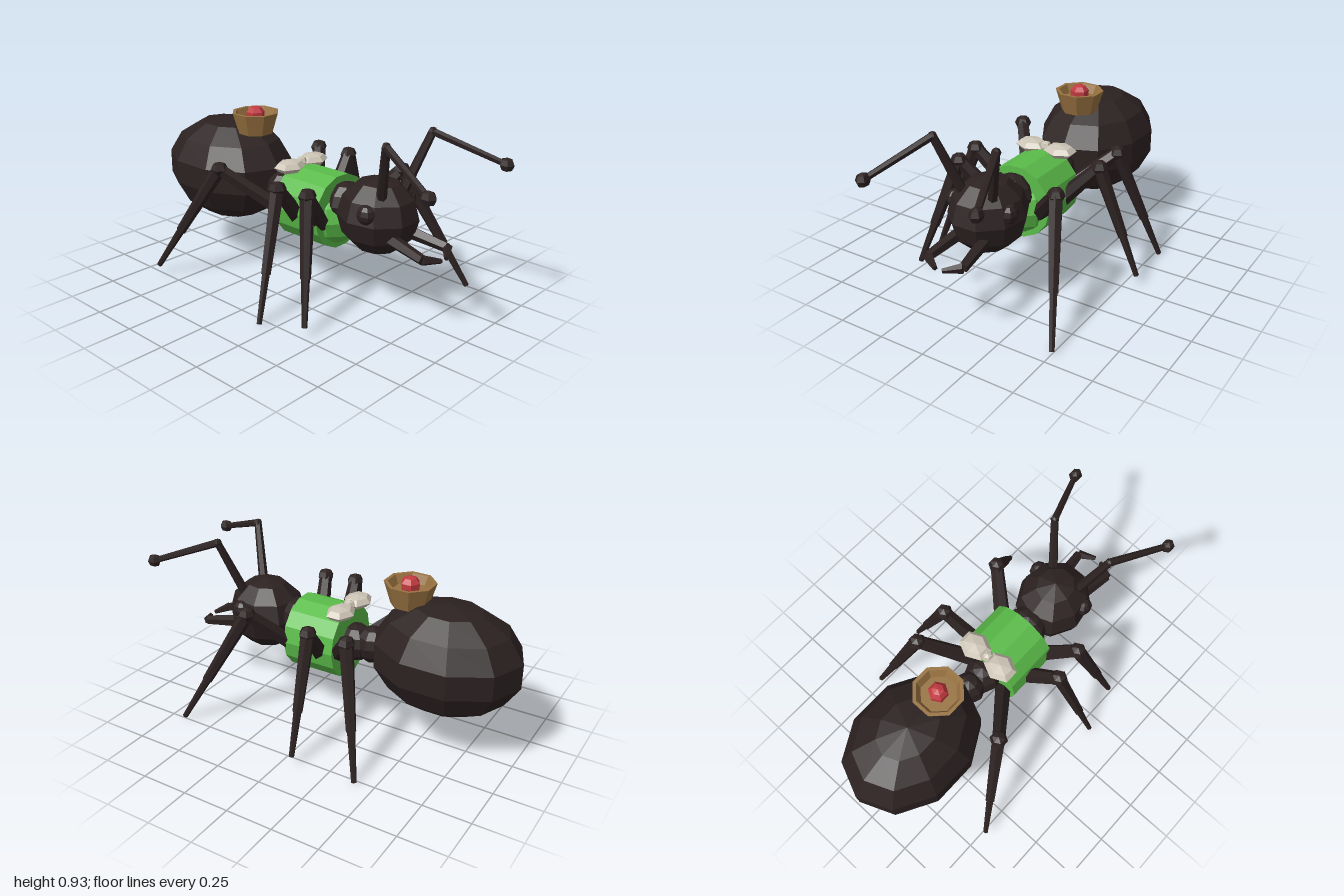
import * as THREE from 'three';

const flat = (name, color, side = THREE.FrontSide) => {
  const m = new THREE.MeshStandardMaterial({ color, flatShading: true, side });
  m.name = name;
  return m;
};

export function createModel() {
  const model = new THREE.Group();
  model.name = 'ant';
  const shell = flat('dark shell', 0x2c2121);
  const green = flat('green vest', 0x5abb49);
  const gold = flat('gold', 0x987240, THREE.DoubleSide);
  const red = flat('red gem', 0xc23a40);
  const ivory = flat('ivory', 0xcdc5b6);

  const add = (name, geo, mat, pos = [0, 0, 0], parent = model) => {
    const mesh = new THREE.Mesh(geo, mat);
    mesh.name = name;
    mesh.position.set(...pos);
    parent.add(mesh);
    return mesh;
  };
  const blob = (name, mat, pos, r, w, h, parent) =>
    add(name, new THREE.SphereGeometry(1, w, h).scale(...r), mat, pos, parent);
  // Tapered rod between two points
  const rod = (name, a, b, ra, rb, parent, sides = 6) => {
    const A = new THREE.Vector3(...a), B = new THREE.Vector3(...b);
    const d = B.clone().sub(A);
    const mesh = add(name, new THREE.CylinderGeometry(rb, ra, d.length(), sides), shell,
      A.clone().add(B).multiplyScalar(0.5).toArray(), parent);
    mesh.quaternion.setFromUnitVectors(new THREE.Vector3(0, 1, 0), d.normalize());
    return mesh;
  };

  // Body
  blob('abdomen', shell, [-0.615, 0.515, 0], [0.395, 0.287, 0.307], 10, 7);
  blob('rearWaist', shell, [-0.2, 0.47, 0], [0.09, 0.1, 0.085], 8, 6);
  blob('frontWaist', shell, [-0.1, 0.46, 0], [0.1, 0.1, 0.1], 8, 6);
  blob('neck', shell, [0.25, 0.51, 0], [0.1, 0.11, 0.11], 8, 6);
  blob('head', shell, [0.457, 0.5, 0], [0.212, 0.195, 0.195], 9, 6);

  // Vest wrapped around the thorax
  add('vest', new THREE.CylinderGeometry(0.195, 0.195, 0.29, 14).rotateZ(Math.PI / 2),
    green, [0.075, 0.455, 0]);
  blob('chest', green, [0.16, 0.425, 0], [0.165, 0.15, 0.165], 9, 6);

  // Bow on the back of the vest
  for (const s of [1, -1]) blob('bowLoop', ivory, [-0.06, 0.65, s * 0.085], [0.075, 0.034, 0.09], 6, 4);
  blob('bowKnot', ivory, [-0.06, 0.655, 0], [0.032, 0.032, 0.03], 6, 4);

  // Crown: outer wall, rim, inner wall and floor
  const crown = [[0.095, 0], [0.13, 0.115], [0.112, 0.115], [0.092, 0.07], [0, 0.07]]
    .map(p => new THREE.Vector2(...p));
  add('crown', new THREE.LatheGeometry(crown, 8).rotateY(Math.PI / 8), gold, [-0.4, 0.75, 0]);
  blob('crownGem', red, [-0.4, 0.85, 0], [0.052, 0.046, 0.052], 6, 5);

  // Eyes, antennae and mandibles
  for (const s of [1, -1]) {
    blob('eye', shell, [0.51, 0.555, s * 0.16], [0.05, 0.05, 0.04], 8, 6);

    const antenna = new THREE.Group();
    antenna.name = s > 0 ? 'leftFrontAntenna' : 'rightBackAntenna';
    model.add(antenna);
    const knee = [0.63, 0.915, s * 0.177], tip = [0.96, 0.792, s * 0.308];
    rod('antennaStalk', [0.54, 0.62, s * 0.085], knee, 0.026, 0.02, antenna);
    blob('antennaJoint', shell, knee, [0.023, 0.023, 0.023], 6, 4, antenna);
    rod('antennaArm', knee, tip, 0.02, 0.016, antenna);
    blob('antennaTip', shell, tip, [0.04, 0.035, 0.033], 6, 4, antenna);

    const jaw = new THREE.Group();
    jaw.name = 'mandible';
    model.add(jaw);
    const bend = [0.8, 0.393, s * 0.1];
    rod('jawBase', [0.58, 0.43, s * 0.07], bend, 0.034, 0.025, jaw, 5);
    rod('jawTip', bend, [0.85, 0.378, s * 0.02], 0.026, 0.012, jaw, 5);
  }

  // Legs in mid stride: hip, knee and foot
  const legs = [
    ['hindLeg', [-0.05, 0.39, 0.1], [-0.335, 0.63, 0.325], [-0.645, 0.055, 0.515]],
    ['hindLeg', [-0.05, 0.42, -0.1], [-0.235, 0.63, -0.325], [-0.4, 0.012, -0.525]],
    ['middleLeg', [0.05, 0.42, 0.14], [0.1, 0.63, 0.335], [0.18, 0.012, 0.55]],
    ['middleLeg', [0.03, 0.42, -0.14], [-0.025, 0.63, -0.335], [-0.06, 0.055, -0.555]],
    ['frontLeg', [0.2, 0.42, 0.13], [0.275, 0.63, 0.31], [0.42, 0.055, 0.485]],
    ['frontLeg', [0.2, 0.42, -0.13], [0.355, 0.63, -0.315], [0.675, 0.012, -0.495]],
  ];
  for (const [name, hip, knee, foot] of legs) {
    const leg = new THREE.Group();
    leg.name = name;
    model.add(leg);
    const ankle = knee.map((k, i) => k + (foot[i] - k) * 0.63);
    rod('thigh', hip, knee, 0.045, 0.034, leg);
    blob('knee', shell, knee, [0.046, 0.04, 0.046], 6, 4, leg);
    rod('shin', knee, ankle, 0.037, 0.026, leg);
    rod('foot', ankle, foot, 0.021, 0.014, leg);
  }
  return model;
}
